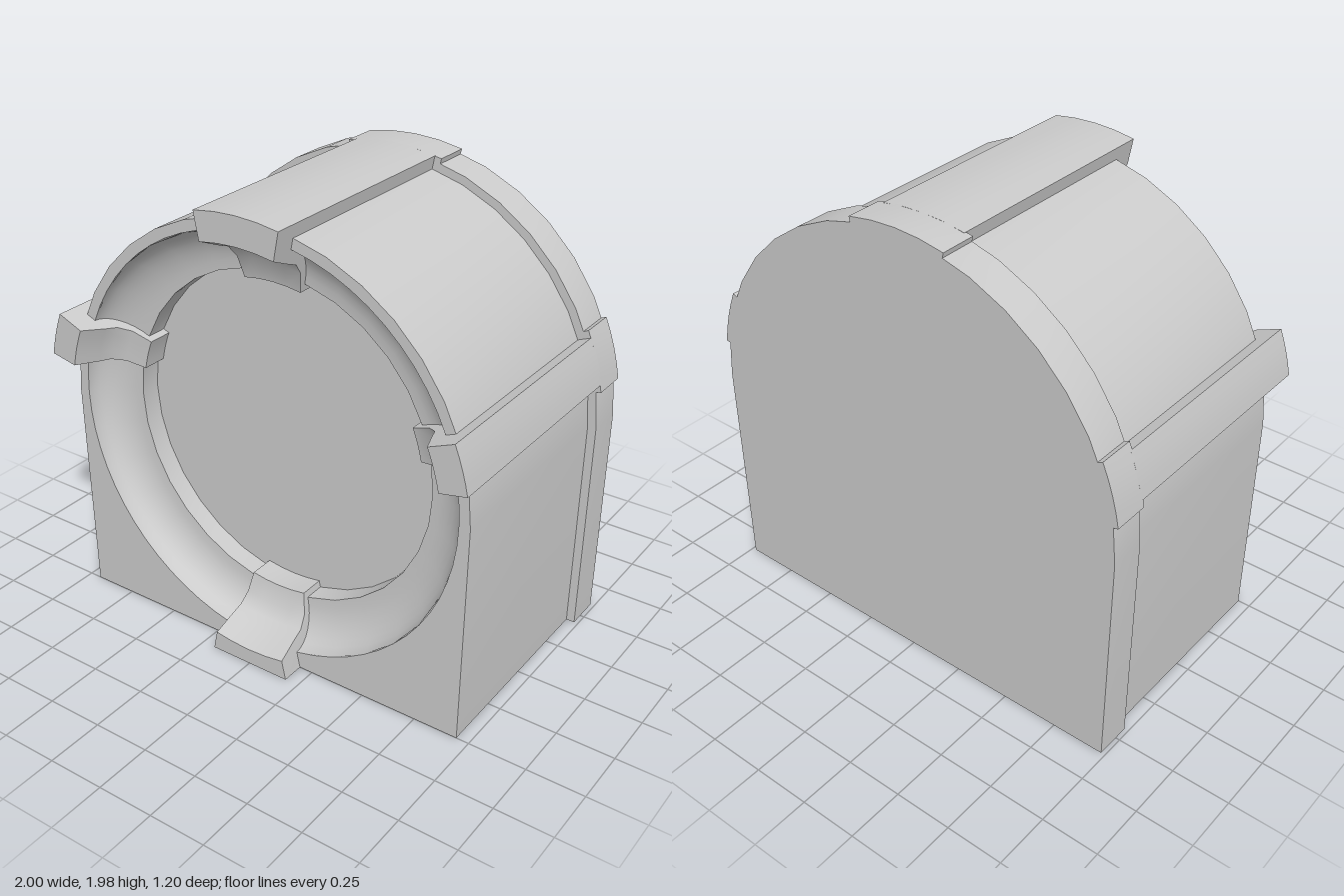
import * as THREE from 'three';
import { toCreasedNormals } from 'three/addons/utils/BufferGeometryUtils.js';

const CY = 0.965; // height of the arch and bowl axis
const DEG = Math.PI / 180;

export function createModel() {
  const group = new THREE.Group();
  const material = new THREE.MeshStandardMaterial({ color: 0xcccccc });

  function add(name, geometry) {
    const mesh = new THREE.Mesh(toCreasedNormals(geometry, 30 * DEG), material);
    mesh.name = name;
    group.add(mesh);
    return mesh;
  }

  // Outline with a flat base, nearly straight sides and a round top
  function archShape(baseHalf, radius) {
    const pts = [new THREE.Vector2(-baseHalf, 0), new THREE.Vector2(baseHalf, 0)];
    for (let i = 0; i <= 18; i++) {
      const a = (i / 18) * Math.PI;
      pts.push(new THREE.Vector2(Math.cos(a) * radius, CY + Math.sin(a) * radius));
    }
    return new THREE.Shape(pts);
  }

  function extrude(shape, z0, z1) {
    const g = new THREE.ExtrudeGeometry(shape, { depth: z1 - z0, bevelEnabled: false, curveSegments: 32 });
    return g.translate(0, 0, z0);
  }

  // Sweeps an (r, z) profile around the axis over a small angle, cut flat at the ground
  function sector(profile, midDeg, halfDeg) {
    const shape = new THREE.Shape(profile.map(([r, z]) => new THREE.Vector2(r, z)));
    const g = new THREE.ExtrudeGeometry(shape, { depth: 2 * halfDeg, steps: 4, bevelEnabled: false });
    const p = g.attributes.position;
    for (let i = 0; i < p.count; i++) {
      const r = p.getX(i), z = p.getY(i);
      const a = (midDeg + halfDeg - p.getZ(i)) * DEG;
      p.setXYZ(i, r * Math.cos(a), Math.max(0, CY + r * Math.sin(a)), z);
    }
    return g;
  }

  // Main housing with the round front opening
  const bodyShape = archShape(0.945, 0.958);
  const opening = new THREE.Path();
  opening.absarc(0, CY, 0.91, 0, Math.PI * 2, true);
  bodyShape.holes.push(opening);
  add('housing', extrude(bodyShape, -0.45, 0.5));

  // Wider plate closing the back
  add('backFlange', extrude(archShape(0.982, 0.995), -0.6, -0.44));

  // Concave rim, short step and flat disc inside the opening
  const bowl = [];
  for (let i = 0; i <= 8; i++) {
    const a = (i / 8) * Math.PI / 2;
    bowl.push(new THREE.Vector2(0.72 + 0.19 * Math.cos(a), 0.5 - 0.13 * Math.sin(a)));
  }
  bowl.push(new THREE.Vector2(0.72, 0.28), new THREE.Vector2(0, 0.28));
  add('bowl', new THREE.LatheGeometry(bowl, 32).rotateX(Math.PI / 2).translate(0, CY, 0));

  // Inner face of each clamp, following the bowl
  const hook = [[0.895, 0.6], [0.85, 0.5], [0.83, 0.45], [0.78, 0.41], [0.69, 0.39], [0.69, 0.28], [0.93, 0.28]];
  const strapProfile = [[0.93, -0.45], [1.015, -0.45], [1.015, 0.6], ...hook];
  const footProfile = [[0.93, 0.495], [0.99, 0.495], [0.99, 0.6], ...hook];
  const padProfile = [[0.93, -0.6], [1.015, -0.6], [1.015, -0.44], [0.93, -0.44]];

  // Straps over the top and both sides, each with a wider pad on the flange
  const straps = [['top', 90, 11, 12.8], ['left', 17, 5.7, 7.5], ['right', 163, 5.7, 7.5]];
  for (const [side, mid, half, padHalf] of straps) {
    add(side + 'Strap', sector(strapProfile, mid, half));
    add(side + 'StrapPad', sector(padProfile, mid, padHalf));
  }

  // Bottom clamp, flush with the base
  add('bottomClamp', sector(footProfile, 270, 11));

  return group;
}
